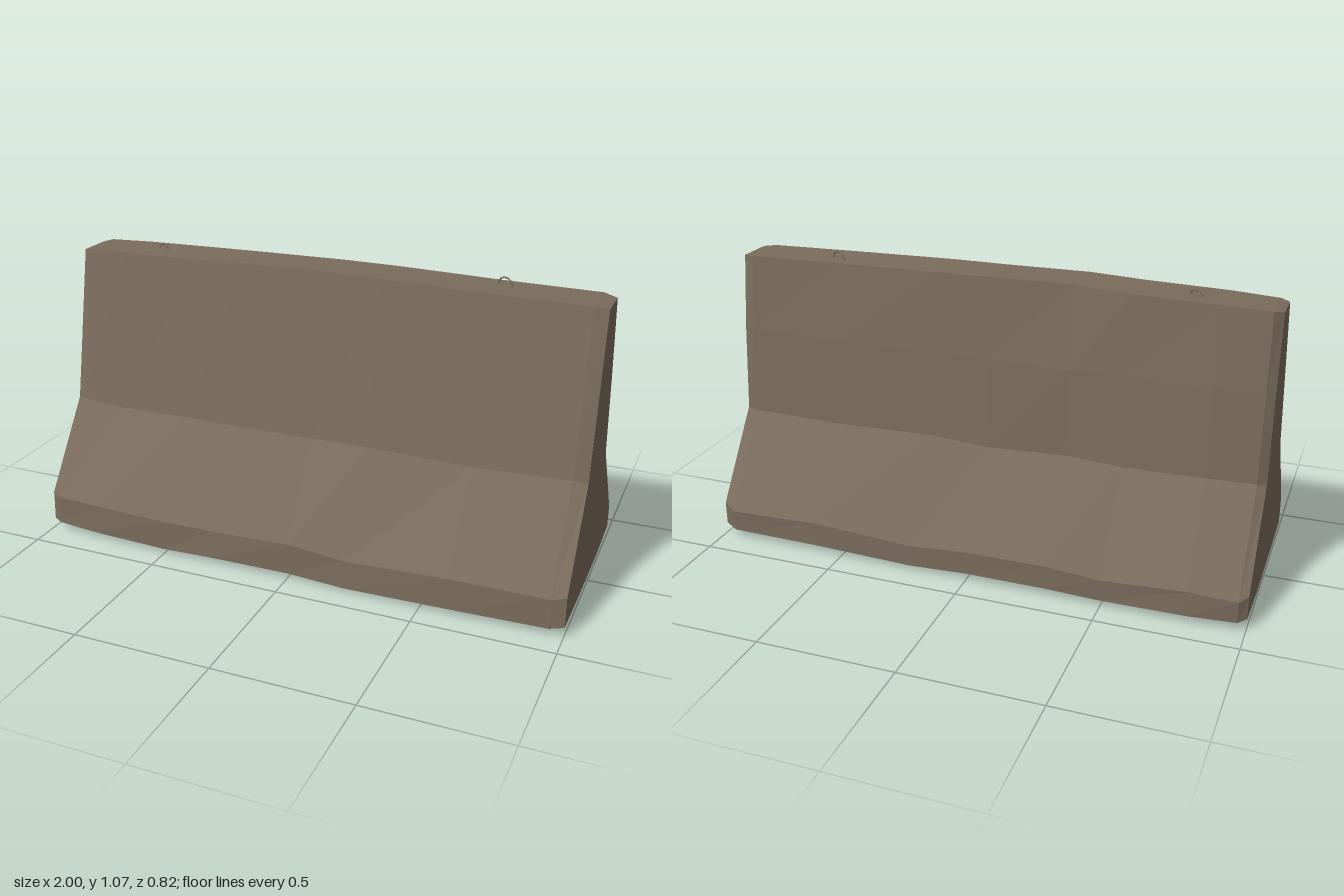
import * as THREE from 'three';

// Barrier cross-section as [z, y], from the back foot over the top to the front foot and underneath
const PROFILE = [
  [-0.40, 0.025], [-0.40, 0.11], [-0.182, 0.44], [-0.155, 0.76], [-0.12, 1.045],
  [0.06, 1.045], [0.178, 0.46], [0.40, 0.13], [0.405, 0.02], [0.20, 0.012], [-0.15, 0.008],
];

// Stations along the length: x, end inset at the back, end inset at the front, lift of the top, lift of the base
const STATIONS = [
  [-1.0, 0.025, 0.03, -0.02, 0.015],
  [-0.97, 0.004, 0.018, -0.013, 0.006],
  [-0.8, -0.006, 0.006, -0.008, 0.004],
  [-0.5, -0.004, -0.002, -0.002, -0.003],
  [-0.3, 0, 0, 0.006, 0.004],
  [0.0, 0, 0.004, 0.006, 0.002],
  [0.22, 0.002, 0, 0.004, -0.007],
  [0.6, 0.004, -0.004, -0.003, 0.002],
  [0.95, 0.006, 0.002, -0.008, 0.004],
  [1.0, 0.03, 0.012, -0.014, 0.015],
];

// One worn cross-section
function section([x, back, front, top, base], i) {
  const inner = i > 0 && i < STATIONS.length - 1;
  return PROFILE.map(([z, y], k) => {
    const wear = inner ? 0.004 * Math.sin(i * 2.7 + k * 1.9) : 0;
    const inset = z < 0 ? back : -front;
    const lift = y > 1 ? top : y < 0.2 ? base : 0;
    const under = k > 8 ? 0 : 1; // underside points keep their z
    const chip = k === 4 && i === 4 ? 0.015 : 0; // chipped back top edge
    return new THREE.Vector3(x, y + lift + (y > 0.05 && y < 1 ? wear * 1.5 : 0), z + under * (inset + wear * 0.6) + chip);
  });
}

function buildBody() {
  const rings = STATIONS.map(section);
  const n = PROFILE.length;
  const points = [];
  for (let i = 0; i < rings.length - 1; i++) {
    for (let k = 0; k < n; k++) {
      const a = rings[i][k], b = rings[i][(k + 1) % n];
      const c = rings[i + 1][k], d = rings[i + 1][(k + 1) % n];
      points.push(a, b, c, b, d, c);
    }
  }
  // Flat end faces
  const cap = (ring, flip) => {
    const outline = ring.map((p) => new THREE.Vector2(-p.z, p.y));
    for (const [a, b, c] of THREE.ShapeUtils.triangulateShape(outline, [])) {
      points.push(ring[a], ring[flip ? c : b], ring[flip ? b : c]);
    }
  };
  cap(rings[rings.length - 1], false);
  cap(rings[0], true);
  const geometry = new THREE.BufferGeometry().setFromPoints(points);
  geometry.computeVertexNormals(); // unshared corners give faceted concrete
  return geometry;
}

export function createModel() {
  const group = new THREE.Group();
  const concrete = new THREE.MeshStandardMaterial({ color: 0x7a6c5c });
  concrete.name = 'concrete';

  const add = (name, geometry) => {
    const mesh = new THREE.Mesh(geometry, concrete);
    mesh.name = name;
    group.add(mesh);
    return mesh;
  };
  add('barrierBody', buildBody());

  // Thin wire bent through a few points
  const wire = (name, pts) => add(name, new THREE.TubeGeometry(
    new THREE.CatmullRomCurve3(pts.map((p) => new THREE.Vector3(...p))), 10, 0.003, 5));

  // Lifting loops on the top
  wire('liftingLoopLeft', [[0.595, 1.03, -0.07], [0.605, 1.06, -0.063], [0.625, 1.069, -0.055], [0.645, 1.06, -0.047], [0.655, 1.03, -0.04]]);
  wire('liftingLoopRight', [[-0.73, 1.03, -0.055], [-0.71, 1.052, -0.05], [-0.69, 1.056, -0.045], [-0.675, 1.03, -0.035]]);

  // Shallow connecting bars in the end faces
  for (const side of [-1, 1]) {
    for (const [z0, z1, y0, y1] of [[0.11, 0.04, 0.468, 0.474], [-0.03, -0.085, 0.476, 0.466]]) {
      wire('endBar', [[side * 0.994, y0, z0], [side * 0.998, (y0 + y1) / 2 + 0.003, (z0 + z1) / 2], [side * 0.994, y1, z1]]);
    }
  }
  return group;
}
